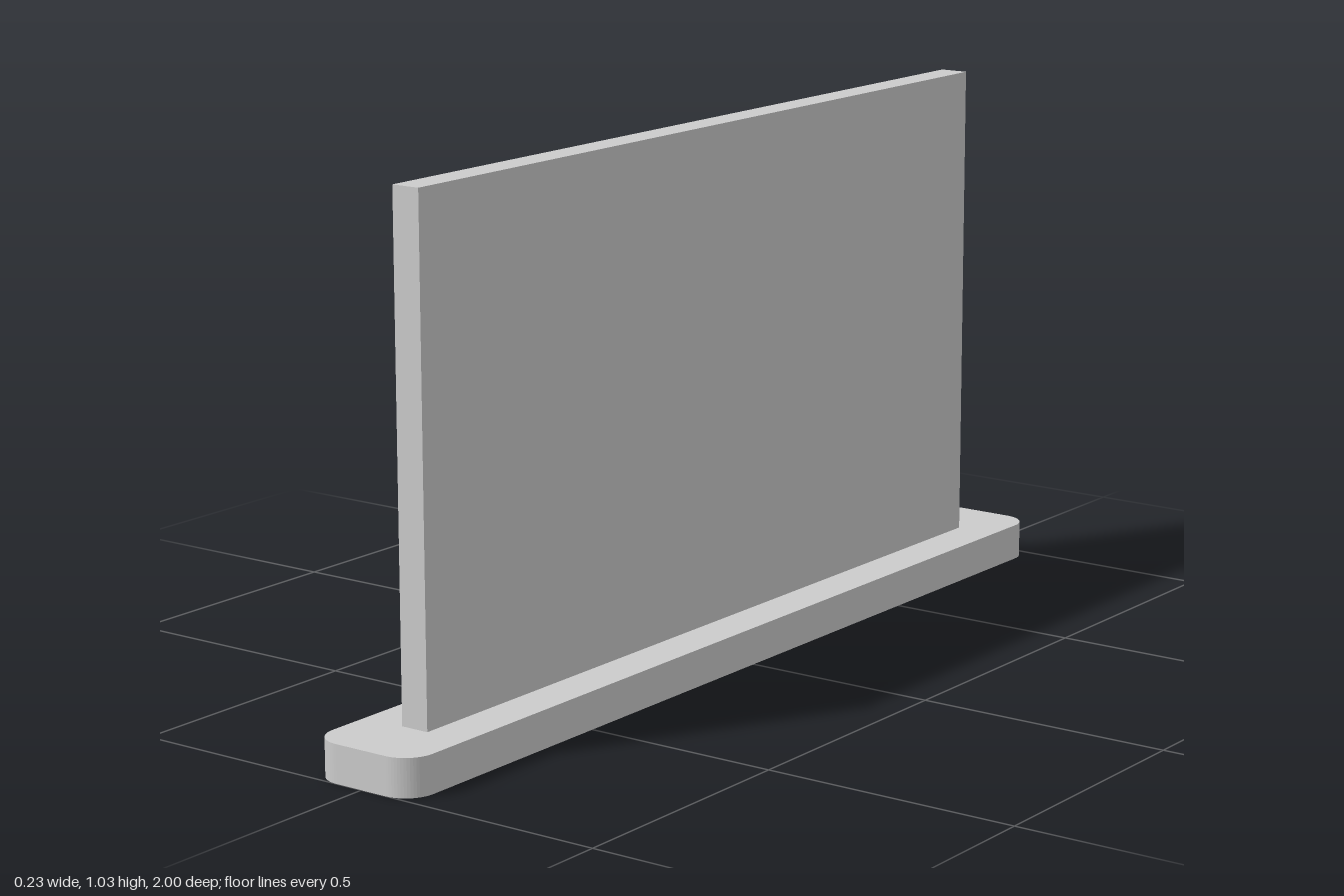
import * as THREE from 'three';

// Rounded rectangle centred on the origin
function roundedRect(halfW, halfL, r) {
  const s = new THREE.Shape();
  s.absarc(halfW - r, halfL - r, r, 0, Math.PI / 2);
  s.absarc(-halfW + r, halfL - r, r, Math.PI / 2, Math.PI);
  s.absarc(-halfW + r, -halfL + r, r, Math.PI, Math.PI * 1.5);
  s.absarc(halfW - r, -halfL + r, r, Math.PI * 1.5, Math.PI * 2);
  return s;
}

export function createModel() {
  const group = new THREE.Group();
  group.name = 'panelOnStand';
  const material = new THREE.MeshStandardMaterial({ color: 0xcccccc });
  const baseHeight = 0.072, topHeight = 1.027;

  // Flat foot with rounded corners
  const baseGeometry = new THREE.ExtrudeGeometry(roundedRect(0.113, 1, 0.057), {
    depth: baseHeight, bevelEnabled: false, curveSegments: 8,
  });
  baseGeometry.rotateX(-Math.PI / 2);
  const base = new THREE.Mesh(baseGeometry, material);
  base.name = 'base';
  group.add(base);

  // Upright panel standing on the foot
  const panelHeight = topHeight - baseHeight;
  const panel = new THREE.Mesh(new THREE.BoxGeometry(0.057, panelHeight, 1.714), material);
  panel.name = 'panel';
  panel.position.y = baseHeight + panelHeight / 2;
  group.add(panel);

  return group;
}
